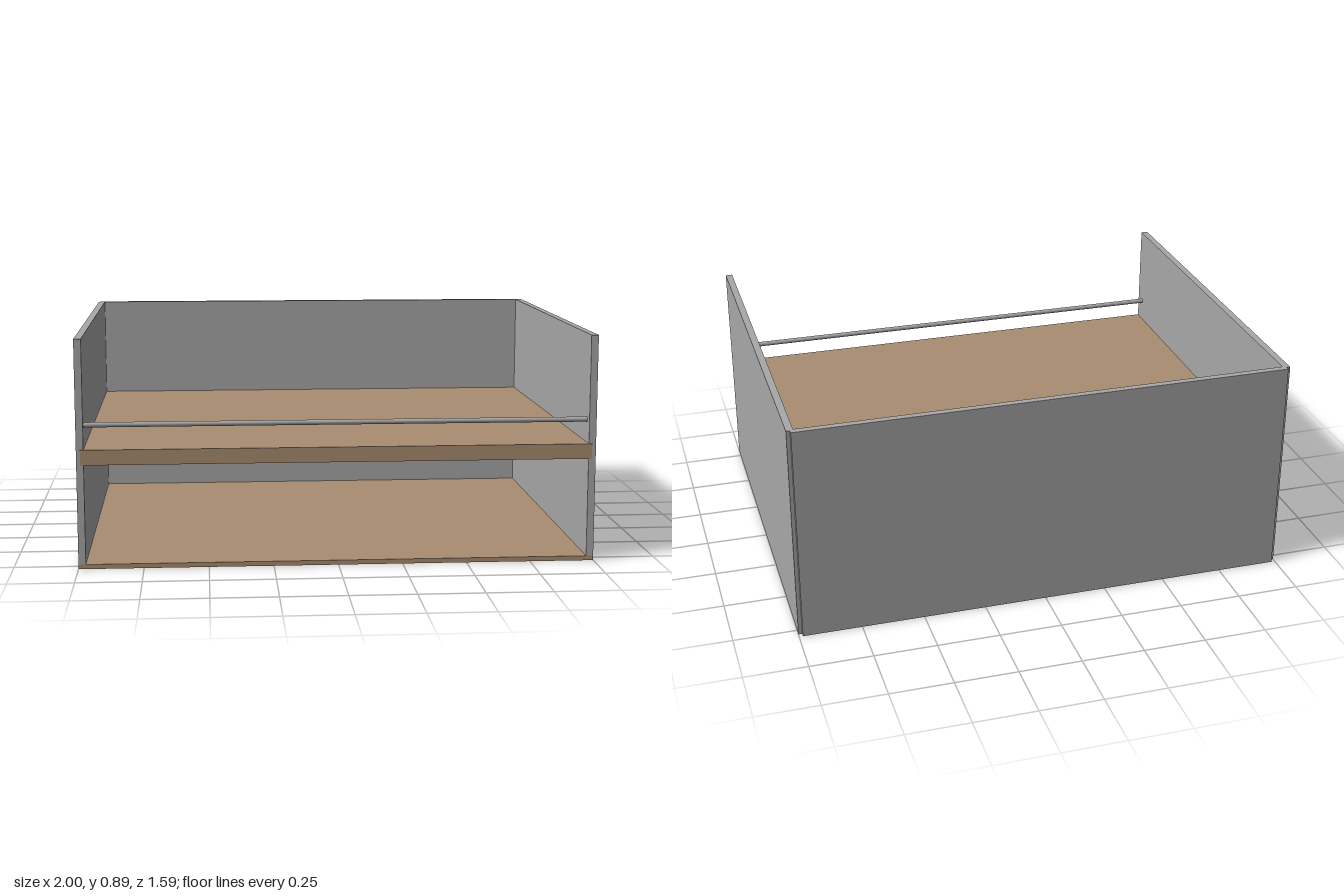
import * as THREE from 'three';

export function createModel() {
  const grey = new THREE.MeshStandardMaterial({ color: 0xa8a8a8 });
  grey.name = 'greyPanel';
  const wood = new THREE.MeshStandardMaterial({ color: 0xa98d71 });
  wood.name = 'brownBoard';

  const model = new THREE.Group();
  model.name = 'openBoxWithShelf';

  // Box given by its lower and upper limits on each axis
  const board = (name, material, [x0, x1], [y0, y1], [z0, z1]) => {
    const mesh = new THREE.Mesh(new THREE.BoxGeometry(x1 - x0, y1 - y0, z1 - z0), material);
    mesh.position.set((x0 + x1) / 2, (y0 + y1) / 2, (z0 + z1) / 2);
    mesh.name = name;
    model.add(mesh);
  };

  const height = 0.886;
  const front = 0.795;

  // Walls: the sides stop just short of the back, leaving corner notches
  board('leftSide', grey, [0.972, 1], [0.002, height], [-0.78, front]);
  board('rightSide', grey, [-1, -0.972], [0.002, height], [-0.78, front]);
  board('backPanel', grey, [-0.985, 0.985], [0.002, height], [-0.797, -0.77]);

  // Bottom and the thicker shelf, let into the side panels
  board('bottomPanel', wood, [-0.999, 0.999], [0, 0.018], [-0.779, front + 0.001]);
  board('bottomBackEdge', wood, [-0.985, 0.985], [0, 0.018], [-0.796, -0.775]);
  board('shelf', wood, [-0.985, 0.985], [0.404, 0.463], [-0.78, front + 0.001]);

  // Thin rail across the front
  const rail = new THREE.Mesh(new THREE.CylinderGeometry(0.01, 0.01, 1.95, 20), grey);
  rail.rotation.z = Math.PI / 2;
  rail.position.set(0, 0.553, 0.752);
  rail.name = 'frontRail';
  model.add(rail);

  return model;
}
